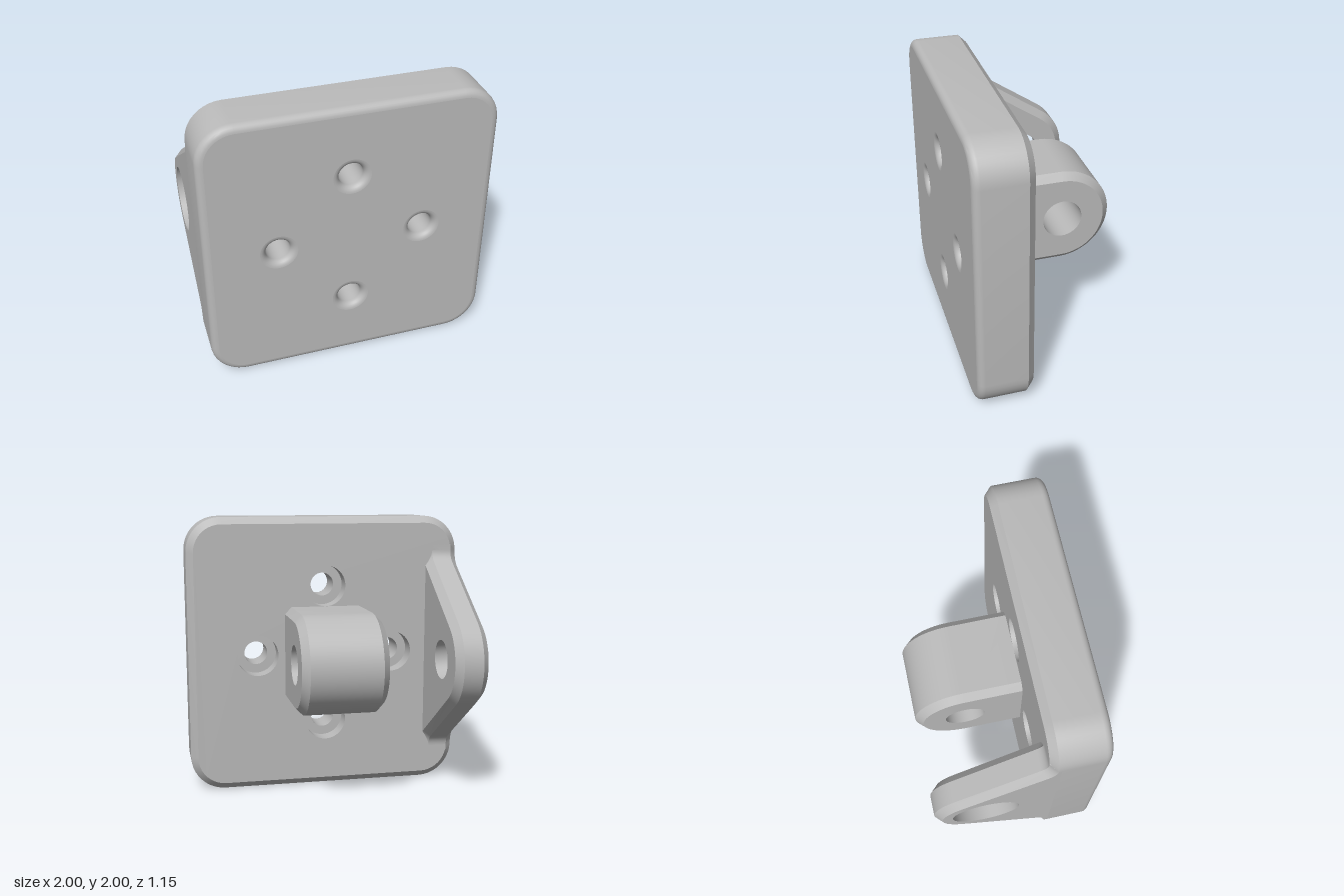
import * as THREE from 'three';
import { mergeGeometries, toCreasedNormals } from 'three/addons/utils/BufferGeometryUtils.js';

const SEG = 40;
const V = (x, y) => new THREE.Vector2(x, y);

// Points along an arc, angles in degrees
function arc(cx, cy, r, from, to, n) {
  return Array.from({ length: n + 1 }, (_, i) => {
    const a = THREE.MathUtils.degToRad(from + ((to - from) * i) / n);
    return V(cx + r * Math.cos(a), cy + r * Math.sin(a));
  });
}

// Move a counter-clockwise contour inward by a distance
function inset(pts, dist) {
  const n = pts.length;
  const normal = (a, b) => V(a.y - b.y, b.x - a.x).normalize();
  return pts.map((p, i) => {
    const n1 = normal(pts[(i + n - 1) % n], p);
    const n2 = normal(p, pts[(i + 1) % n]);
    return p.clone().addScaledVector(n1.clone().add(n2), dist / (1 + n1.dot(n2)));
  });
}

// Flat end face with round holes [x, y, radius]
function cap(pts, d, holes, flip) {
  const shape = new THREE.Shape(pts);
  for (const [x, y, r] of holes) {
    shape.holes.push(new THREE.Path(arc(x, y, r, 0, 360, SEG).slice(0, SEG)));
  }
  let g = new THREE.ShapeGeometry(shape);
  if (flip) g.rotateY(Math.PI).scale(-1, 1, 1);
  if (flip) {
    // turn the mirrored face so it looks backwards
    const idx = g.index.array;
    const area = g.attributes.position;
    const [a, b, c] = [0, 1, 2].map((k) => V(area.getX(idx[k]), area.getY(idx[k])));
    if (b.sub(a).cross(c.sub(a)) > 0) {
      for (let i = 0; i < idx.length; i += 3) [idx[i], idx[i + 1]] = [idx[i + 1], idx[i]];
    }
  }
  g.translate(0, 0, d);
  g = g.toNonIndexed();
  g.deleteAttribute('uv');
  g.computeVertexNormals();
  return g;
}

// Solid through rings [inset, depth], with hole radii at the start and end faces
function solid(contour, rings, startHoles, endHoles) {
  const n = contour.length;
  const loops = rings.map(([s]) => inset(contour, s));
  const pos = [];
  const index = [];
  loops.forEach((loop, k) => loop.forEach((p) => pos.push(p.x, p.y, rings[k][1])));
  for (let k = 0; k < rings.length - 1; k++) {
    for (let i = 0; i < n; i++) {
      const a = k * n + i;
      const b = k * n + ((i + 1) % n);
      index.push(a, b, b + n, a, b + n, a + n);
    }
  }
  const wall = new THREE.BufferGeometry();
  wall.setAttribute('position', new THREE.Float32BufferAttribute(pos, 3));
  wall.setIndex(index);
  const last = rings.length - 1;
  return mergeGeometries([
    toCreasedNormals(wall, 0.5),
    cap(loops[0], rings[0][1], startHoles, true),
    cap(loops[last], rings[last][1], endHoles, false),
  ]);
}

// Inner wall of a hole; profile [radius, depth] runs from high to low depth
function bore(x, y, profile) {
  let g = new THREE.LatheGeometry(profile.map(([r, d]) => V(r, d)), SEG);
  g.deleteAttribute('uv');
  g = toCreasedNormals(g, 0.5);
  return g.rotateX(Math.PI / 2).translate(x, y, 0);
}

export function createModel() {
  const group = new THREE.Group();
  const grey = new THREE.MeshStandardMaterial({ color: 0xbababa });
  grey.name = 'grey';
  const add = (name, parts, sideways) => {
    const g = mergeGeometries(parts);
    if (sideways) g.rotateY(Math.PI / 2);
    const mesh = new THREE.Mesh(g, grey);
    mesh.name = name;
    group.add(mesh);
  };

  // Mounting plate: chamfered back, rounded front, four counterbored holes
  const plate = [
    ...arc(0.75, 0.25, 0.25, -90, 0, 10),
    ...arc(0.75, 1.75, 0.25, 0, 90, 10),
    ...arc(-0.75, 1.75, 0.25, 90, 180, 10),
    ...arc(-0.75, 0.25, 0.25, 180, 270, 10),
  ];
  const back = 0.18;
  const front = 0.575;
  const round = arc(0, front - 0.05, 0.05, 0, 90, 6).map((p) => [0.05 - p.x, p.y]);
  const spots = [[0, 1.5], [0, 0.5], [-0.5, 1], [0.5, 1]];
  const screwProfile = [
    ...arc(0.13, front - 0.045, 0.045, 90, 180, 6).map((p) => [p.x, p.y]),
    [0.085, back + 0.13], [0.15, back + 0.13], [0.15, back],
  ];
  add('mountingPlate', [
    solid(plate, [[0.05, back], [0, back + 0.05], ...round],
      spots.map(([x, y]) => [x, y, 0.15]), spots.map(([x, y]) => [x, y, 0.13])),
    ...spots.map(([x, y]) => bore(x, y, screwProfile)),
  ]);

  // Lugs are drawn side-on: first axis points backwards, depth runs along x
  const pin = [0.225, 1];

  // Middle lug with a plain pin hole
  const middle = [...arc(...pin, 0.35, -90, 90, 30), V(-0.27, 1.35), V(-0.27, 0.65)];
  const pinHole = [[...pin, 0.14]];
  add('middleLug', [
    solid(middle, [[0.05, -0.3], [0, -0.25], [0, 0.25], [0.05, 0.3]], pinHole, pinHole),
    bore(...pin, [[0.14, 0.3], [0.14, -0.3]]),
  ], true);

  // Triangular side lug with filleted feet and a counterbored pin hole
  const upper = [
    ...arc(-0.18 + 0.103, 1.75, 0.103, 236, 180, 6),
    V(-0.18, 1.79), V(-0.3, 1.79),
  ];
  const lower = upper.map((p) => V(p.x, 2 - p.y)).reverse();
  const side = [...arc(...pin, 0.35, -56, 56, 20), ...upper, ...lower];
  add('sideLug', [
    solid(side, [[0.05, -1], [0, -0.95], [0, -0.81], [0.05, -0.76]], [[...pin, 0.23]], pinHole),
    bore(...pin, [[0.14, -0.76], [0.14, -0.86], [0.23, -0.86], [0.23, -1]]),
  ], true);

  return group;
}
